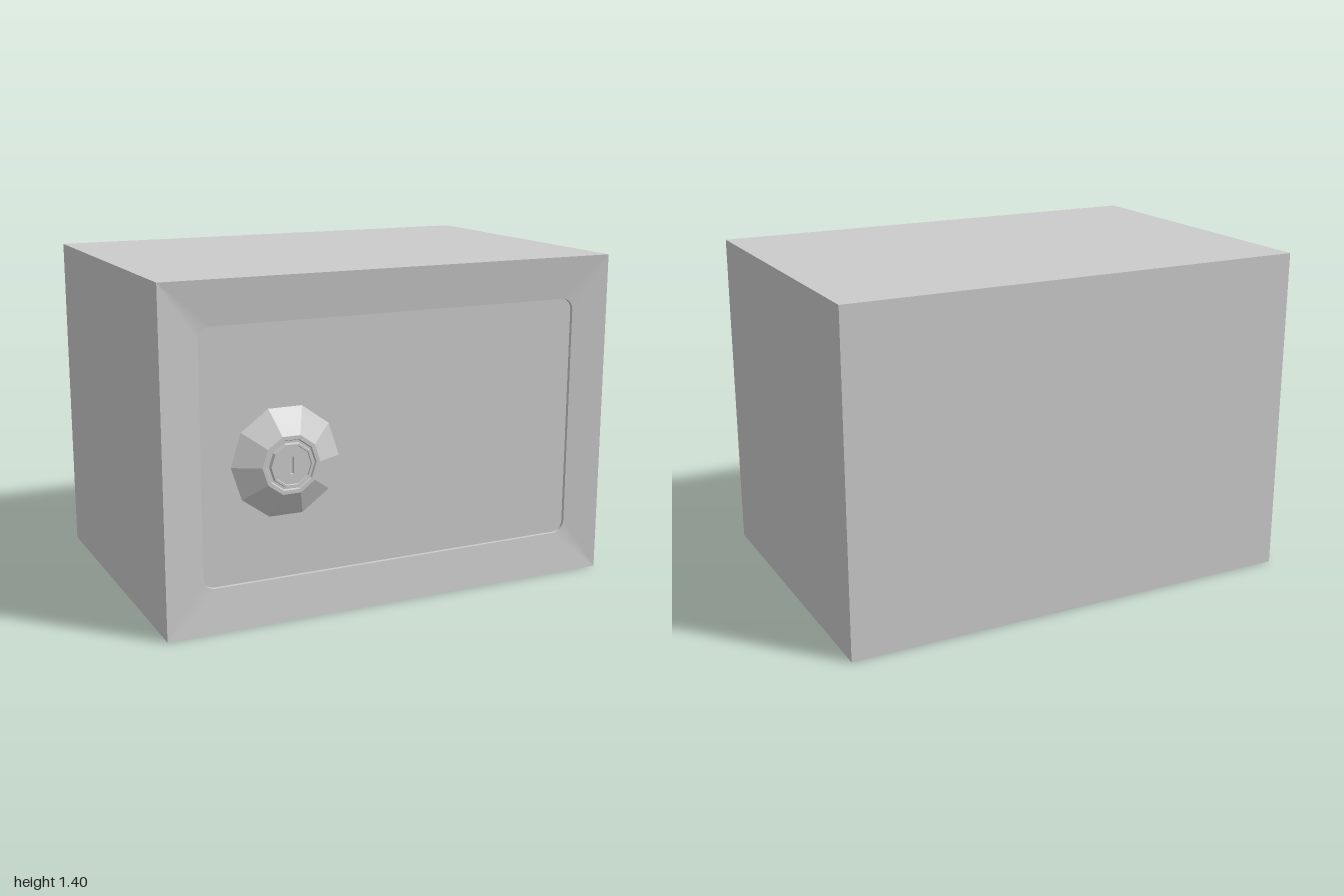
import * as THREE from 'three';

const W = 1, H = 1.4, BACK = -0.75, FRONT = 0.62;
const BEVEL_Z = 0.6, DOOR_Z = 0.585;
const STEPS = 5; // segments per rounded door corner

// Counter-clockwise rounded rectangle; radius 0 repeats each corner point
function rectLoop(halfW, halfH, radius) {
  const pts = [];
  [[1, 1], [-1, 1], [-1, -1], [1, -1]].forEach(([sx, sy], c) => {
    for (let i = 0; i <= STEPS; i++) {
      const a = (c + i / STEPS) * Math.PI / 2;
      pts.push(new THREE.Vector2(
        sx * (halfW - radius) + radius * Math.cos(a),
        H / 2 + sy * (halfH - radius) + radius * Math.sin(a)));
    }
  });
  return pts;
}

// Skin between consecutive rings of { loop, z }
function loft(rings) {
  const pos = [];
  const tri = (...v) => v.forEach(([p, z]) => pos.push(p.x, p.y, z));
  for (let r = 0; r < rings.length - 1; r++) {
    const a = rings[r], b = rings[r + 1], n = a.loop.length;
    for (let i = 0; i < n; i++) {
      const j = (i + 1) % n;
      const a0 = [a.loop[i], a.z], a1 = [a.loop[j], a.z];
      const b0 = [b.loop[i], b.z], b1 = [b.loop[j], b.z];
      if (a0[0].distanceTo(a1[0]) > 1e-6) tri(a0, a1, b1);
      if (b0[0].distanceTo(b1[0]) > 1e-6) tri(a0, b1, b0);
    }
  }
  const g = new THREE.BufferGeometry();
  g.setAttribute('position', new THREE.Float32BufferAttribute(pos, 3));
  g.computeVertexNormals();
  return g;
}

export function createModel() {
  const safe = new THREE.Group();
  safe.name = 'safe';
  const material = new THREE.MeshStandardMaterial({ color: 0xcccccc, flatShading: true });
  const add = (parent, name, geometry, x = 0, y = 0, z = 0) => {
    const mesh = new THREE.Mesh(geometry, material);
    mesh.name = name;
    mesh.position.set(x, y, z);
    parent.add(mesh);
    return mesh;
  };

  // Cabinet walls, inward sloping front frame and the step down to the door
  const outer = rectLoop(W, H / 2, 0);
  const inner = rectLoop(0.84, 0.52, 0.05);
  add(safe, 'cabinet', loft([
    { loop: outer, z: BACK },
    { loop: outer, z: FRONT },
    { loop: inner, z: BEVEL_Z },
    { loop: inner, z: DOOR_Z },
  ]));
  add(safe, 'backPanel', new THREE.PlaneGeometry(2 * W, H), 0, H / 2, BACK).rotation.y = Math.PI;
  add(safe, 'door', new THREE.ShapeGeometry(new THREE.Shape(inner)), 0, 0, DOOR_Z);

  // Ten-sided knob with a groove around the lock
  const knob = new THREE.Group();
  knob.name = 'knob';
  knob.position.set(-0.523, 0.687, 0);
  safe.add(knob);
  const profile = [
    [0.09, DOOR_Z], [0.226, 0.68], [0.12, 0.74], [0.104, 0.74], [0.1, 0.732],
    [0.091, 0.732], [0.088, 0.75], [0.08, 0.75], [0.078, 0.744],
  ].map(([r, z]) => new THREE.Vector2(r, z));
  const dial = new THREE.LatheGeometry(profile, 10, Math.PI / 2);
  dial.rotateX(Math.PI / 2);
  add(knob, 'dial', dial);

  // Lock face with a keyhole slot
  const face = new THREE.Shape();
  for (let i = 0; i < 10; i++) {
    const a = i * Math.PI / 5;
    face[i ? 'lineTo' : 'moveTo'](0.079 * Math.cos(a), 0.079 * Math.sin(a));
  }
  const sw = 0.007, sh = 0.035;
  face.holes.push(new THREE.Path([[-sw, -sh], [-sw, sh], [sw, sh], [sw, -sh]]
    .map(([x, y]) => new THREE.Vector2(x, y))));
  add(knob, 'lockFace', new THREE.ExtrudeGeometry(face, { depth: 0.02, bevelEnabled: false }), 0, 0, 0.724);
  add(knob, 'keyholeFloor', new THREE.PlaneGeometry(2 * sw, 2 * sh), 0, 0, 0.73);

  return safe;
}
